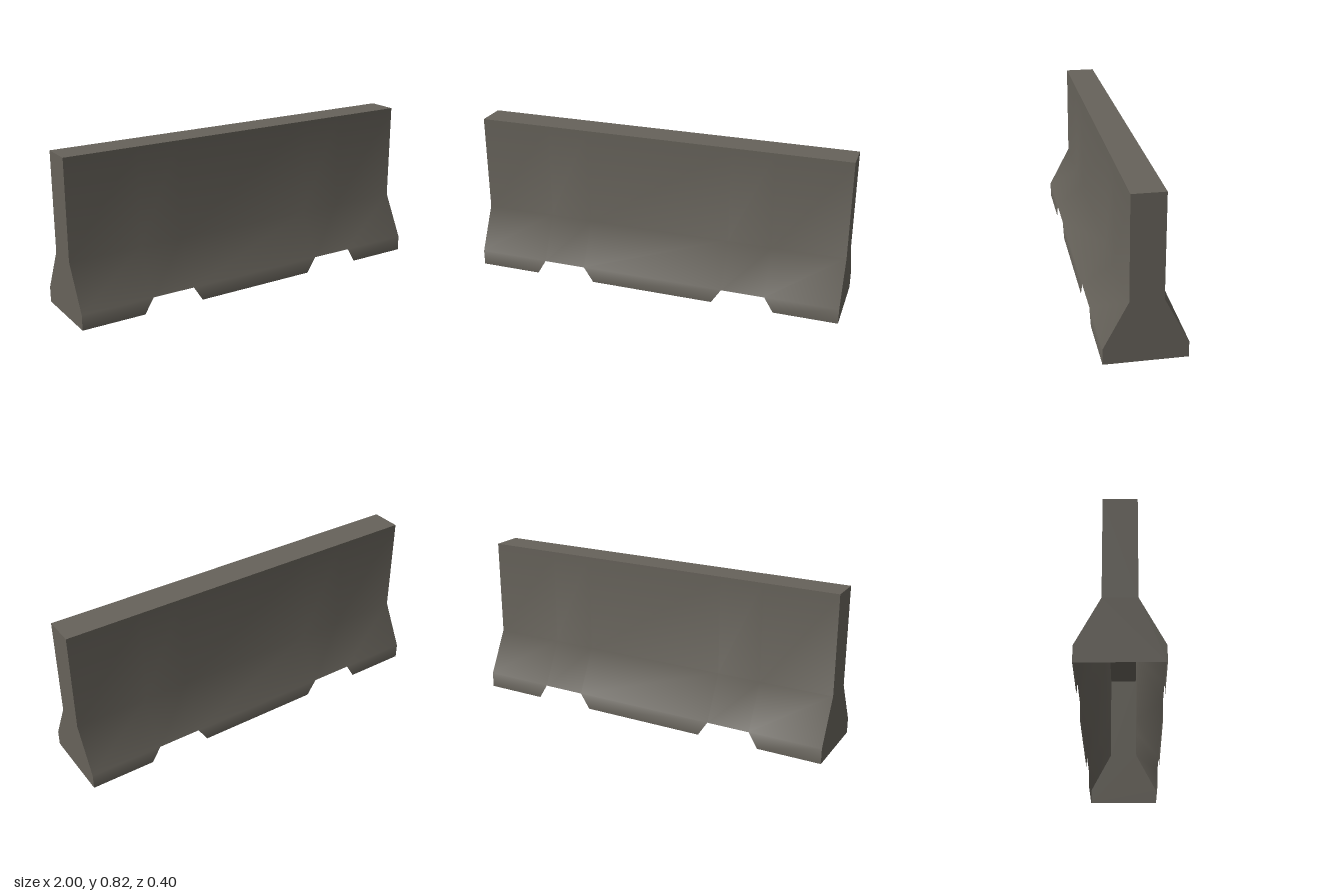
import * as THREE from 'three';

const HEIGHT = 0.825, TOP_HALF = 0.08, BASE_HALF = 0.2, WAIST = 0.31, FOOT = 0.08;

// One long wall: four rows of points, with two notches left out of the lowest band
function wallGeometry() {
  const footX = [-1, -0.665, -0.335, 0.335, 0.665, 1];
  const upperX = [-1, -0.617, -0.387, 0.387, 0.617, 1];
  const rows = [
    [0, BASE_HALF, footX],
    [FOOT, BASE_HALF, upperX],
    [WAIST, TOP_HALF, upperX],
    [HEIGHT, TOP_HALF, upperX],
  ];
  const positions = [], index = [];
  const n = footX.length;
  for (const [y, z, xs] of rows) for (const x of xs) positions.push(x, y, z);
  for (let r = 0; r < rows.length - 1; r++) {
    for (let c = 0; c < n - 1; c++) {
      if (r === 0 && c % 2 === 1) continue; // forklift notch
      const a = r * n + c, b = a + 1, d = a + n, e = d + 1;
      index.push(a, b, e, a, e, d);
    }
  }
  const geometry = new THREE.BufferGeometry();
  geometry.setAttribute('position', new THREE.Float32BufferAttribute(positions, 3));
  geometry.setIndex(index);
  geometry.computeVertexNormals(); // soft creases at waist and foot
  return geometry;
}

// Flat end cap with the barrier's cross-section
function endGeometry() {
  const half = [[BASE_HALF, 0], [BASE_HALF, FOOT], [TOP_HALF, WAIST], [TOP_HALF, HEIGHT]];
  const mirrored = half.map(([x, y]) => [-x, y]).reverse();
  const points = [...half, ...mirrored].map(([x, y]) => new THREE.Vector2(x, y));
  return new THREE.ShapeGeometry(new THREE.Shape(points));
}

export function createModel() {
  const group = new THREE.Group();
  group.name = 'roadBarrier';
  const concrete = new THREE.MeshStandardMaterial({ color: 0x66625a, side: THREE.DoubleSide });
  concrete.name = 'concrete';

  const add = (name, geometry) => {
    const mesh = new THREE.Mesh(geometry, concrete);
    mesh.name = name;
    group.add(mesh);
    return mesh;
  };

  // Hollow shell, open underneath
  const wall = wallGeometry();
  add('frontWall', wall);
  add('backWall', wall).rotation.y = Math.PI;

  const end = endGeometry();
  for (const [name, side] of [['leftEnd', 1], ['rightEnd', -1]]) {
    const mesh = add(name, end);
    mesh.position.x = side;
    mesh.rotation.y = side * Math.PI / 2;
  }

  const top = add('topFace', new THREE.PlaneGeometry(2, TOP_HALF * 2));
  top.rotation.x = -Math.PI / 2;
  top.position.y = HEIGHT;

  return group;
}
